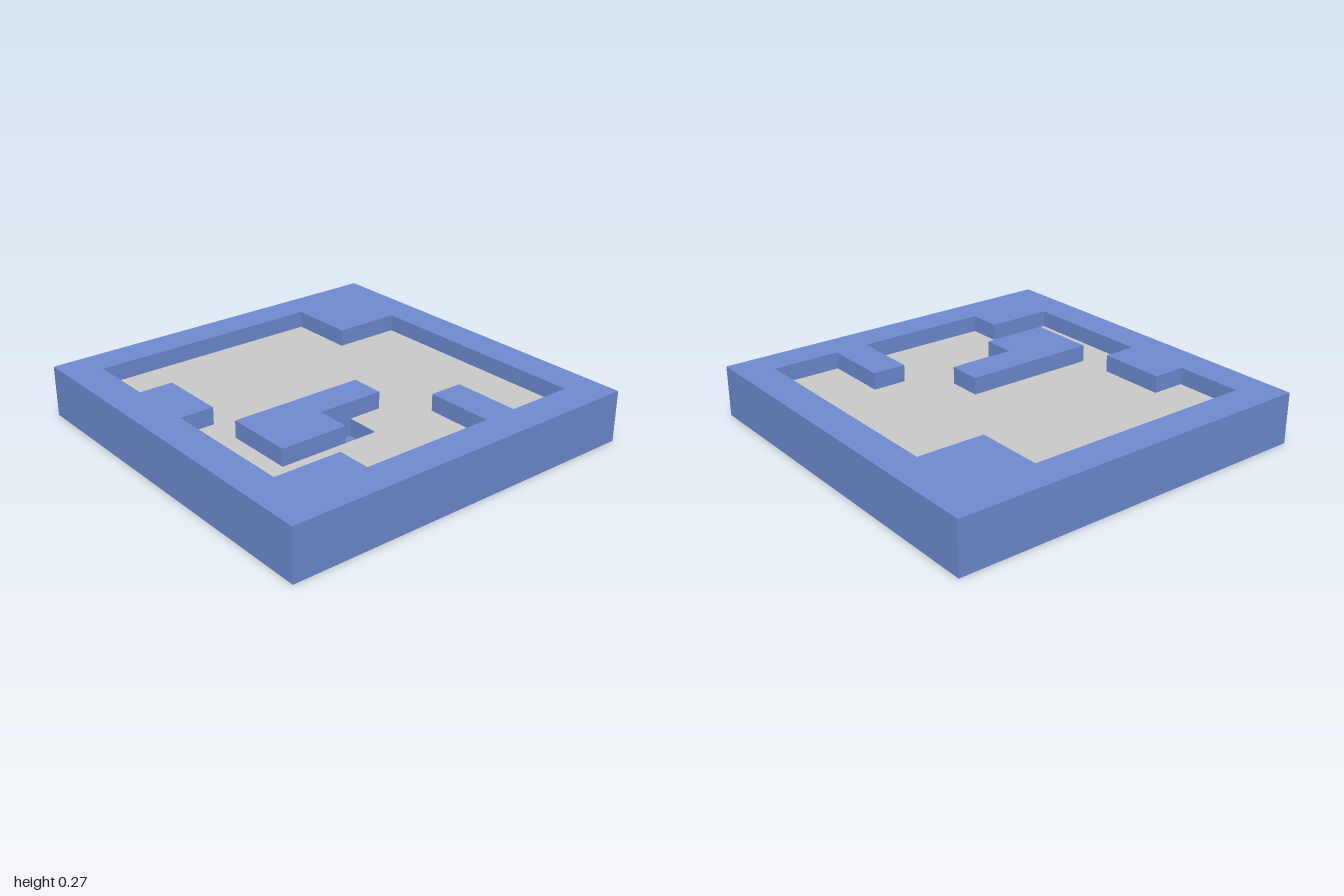
import * as THREE from 'three';

// The plan is drawn on an 11 x 11 grid of square cells; levels are half a cell apart.
const CELL = 2 / 11;
const STEP = CELL / 2;

const toPoints = (cells) => cells.map(([i, j]) => new THREE.Vector2(i * CELL - 1, j * CELL - 1));

function planShape(outline, ...holes) {
  const shape = new THREE.Shape(toPoints(outline));
  for (const hole of holes) shape.holes.push(new THREE.Path(toPoints(hole)));
  return shape;
}

const OUTER = [[0, 0], [11, 0], [11, 11], [0, 11]];
const CAVITY = [
  [1, 1], [8, 1], [8, 3], [10, 3], [10, 10], [8, 10], [8, 8], [7, 8],
  [7, 10], [3, 10], [3, 9], [1, 9], [1, 5], [2, 5], [2, 3], [1, 3],
];
const ISLAND = [[2, 6], [6, 6], [6, 7], [4, 7], [4, 8], [2, 8]];
const PIT = [[4, 7], [5, 7], [5, 8], [4, 8]];
const ISLAND_AND_PIT = [[2, 6], [6, 6], [6, 7], [5, 7], [5, 8], [2, 8]];

export function createModel() {
  const group = new THREE.Group();
  const blue = new THREE.MeshStandardMaterial({ color: 0x6f8bd2 });
  const grey = new THREE.MeshStandardMaterial({ color: 0xcccccc });

  function add(name, geometry, material, y) {
    geometry.rotateX(Math.PI / 2); // plan y becomes z, extrusion runs downwards
    geometry.translate(0, y, 0);
    const mesh = new THREE.Mesh(geometry, material);
    mesh.name = name;
    group.add(mesh);
  }

  // One-level slab whose top is at the given level
  const slab = (name, shape, level) =>
    add(name, new THREE.ExtrudeGeometry(shape, { depth: STEP, bevelEnabled: false }), blue, level * STEP);

  slab('base', planShape(OUTER), 1);
  slab('middleLayer', planShape(OUTER, PIT), 2);
  slab('rim', planShape(OUTER, CAVITY), 3);
  slab('island', planShape(ISLAND), 3);

  // Grey floor sheet, turned face up, just above the middle layer
  const floor = new THREE.ShapeGeometry(planShape(CAVITY, ISLAND_AND_PIT));
  const index = floor.index.array;
  for (let k = 0; k < index.length; k += 3) {
    [index[k], index[k + 1]] = [index[k + 1], index[k]];
  }
  floor.computeVertexNormals();
  add('floor', floor, grey, 2 * STEP + 0.001);

  return group;
}
